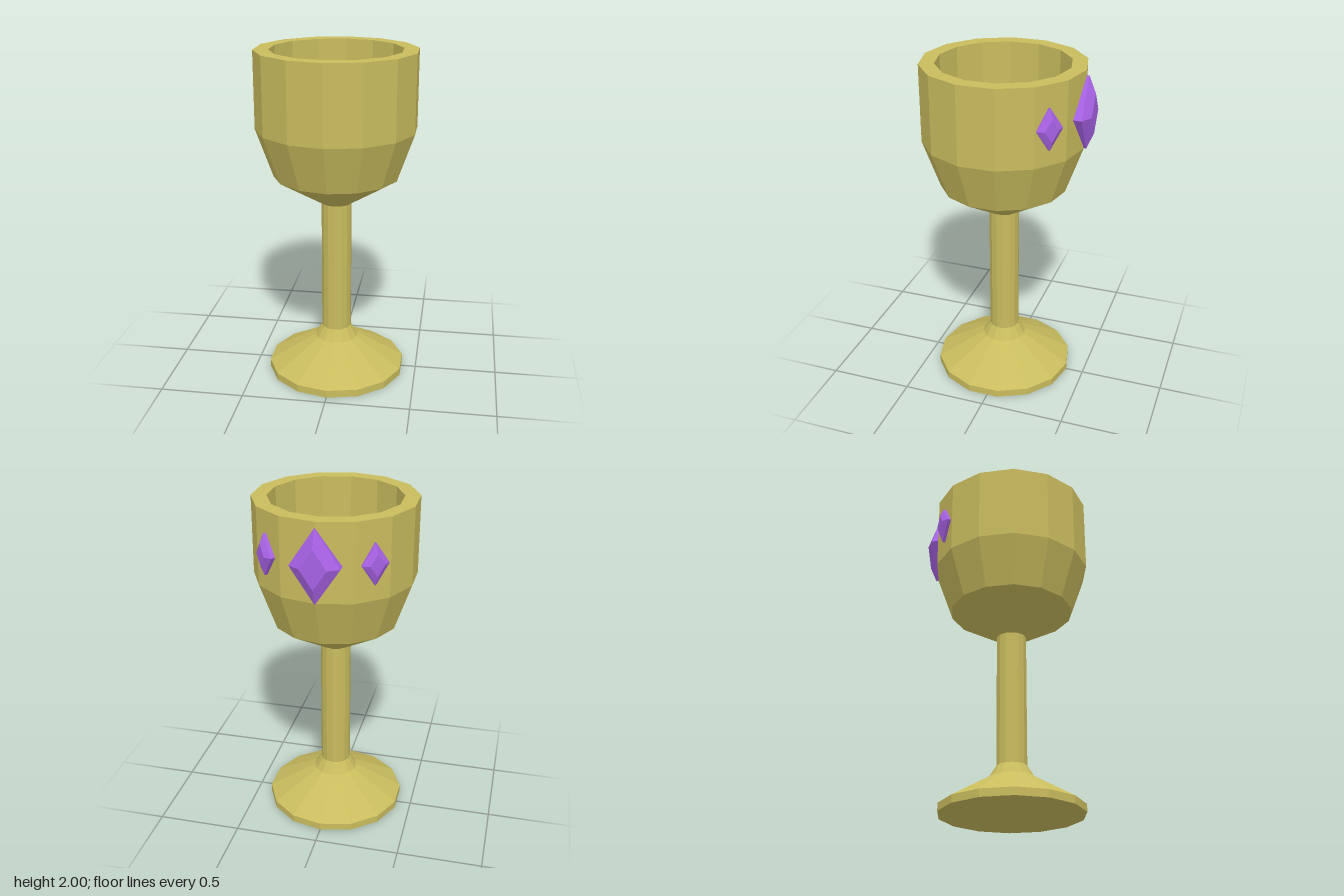
import * as THREE from 'three';

const gold = new THREE.MeshStandardMaterial({ color: 0xc9bc5e, flatShading: true });
const purple = new THREE.MeshStandardMaterial({ color: 0xa862e6, flatShading: true });
const AXIS_Z = 0.027; // the turned body sits slightly forward of centre

const profile = (points) => points.map(([r, y]) => new THREE.Vector2(r, y));

function turned(name, points) {
  const mesh = new THREE.Mesh(new THREE.LatheGeometry(profile(points), 14), gold);
  mesh.name = name;
  mesh.position.z = AXIS_Z;
  return mesh;
}

// Diamond-shaped gem: straight girdle, then a bevel to a smaller flat diamond.
// (x, z) is the centre of its girdle, (nx, nz) the way it faces.
function gem(name, size, x, z, nx, nz) {
  const geometry = new THREE.LatheGeometry(
    profile([[0, -0.07], [1, -0.07], [1, 0], [0.54, 0.04], [0, 0.04]]), 4);
  geometry.rotateX(Math.PI / 2);
  geometry.scale(0.14 * size, 0.212 * size, size);
  const mesh = new THREE.Mesh(geometry, purple);
  mesh.name = name;
  mesh.position.set(x, 1.757, z);
  mesh.rotation.y = Math.atan2(nx, nz);
  return mesh;
}

export function createModel() {
  const group = new THREE.Group();
  group.name = 'goblet';

  // Foot with a thin rim and a flared neck
  group.add(turned('foot', [[0, 0], [0.42, 0], [0.42, 0.045], [0.133, 0.213], [0.09, 0.283]]));

  // Stem
  group.add(turned('stem', [[0.09, 0.283], [0.09, 1.09]]));

  // Bowl: outside up to the rim, then the inside down to its floor
  group.add(turned('bowl', [
    [0.09, 1.09], [0.372, 1.26], [0.473, 1.545], [0.473, 2],
    [0.385, 2], [0.385, 1.55], [0.205, 1.3], [0, 1.3],
  ]));

  // Gems around the back of the bowl
  group.add(gem('largeGem', 1, 0, -0.46, 0, -1));
  group.add(gem('leftSmallGem', 0.565, 0.312, -0.336, 0.707, -0.707));
  group.add(gem('rightSmallGem', 0.565, -0.303, -0.342, -0.59, -0.81));

  return group;
}
